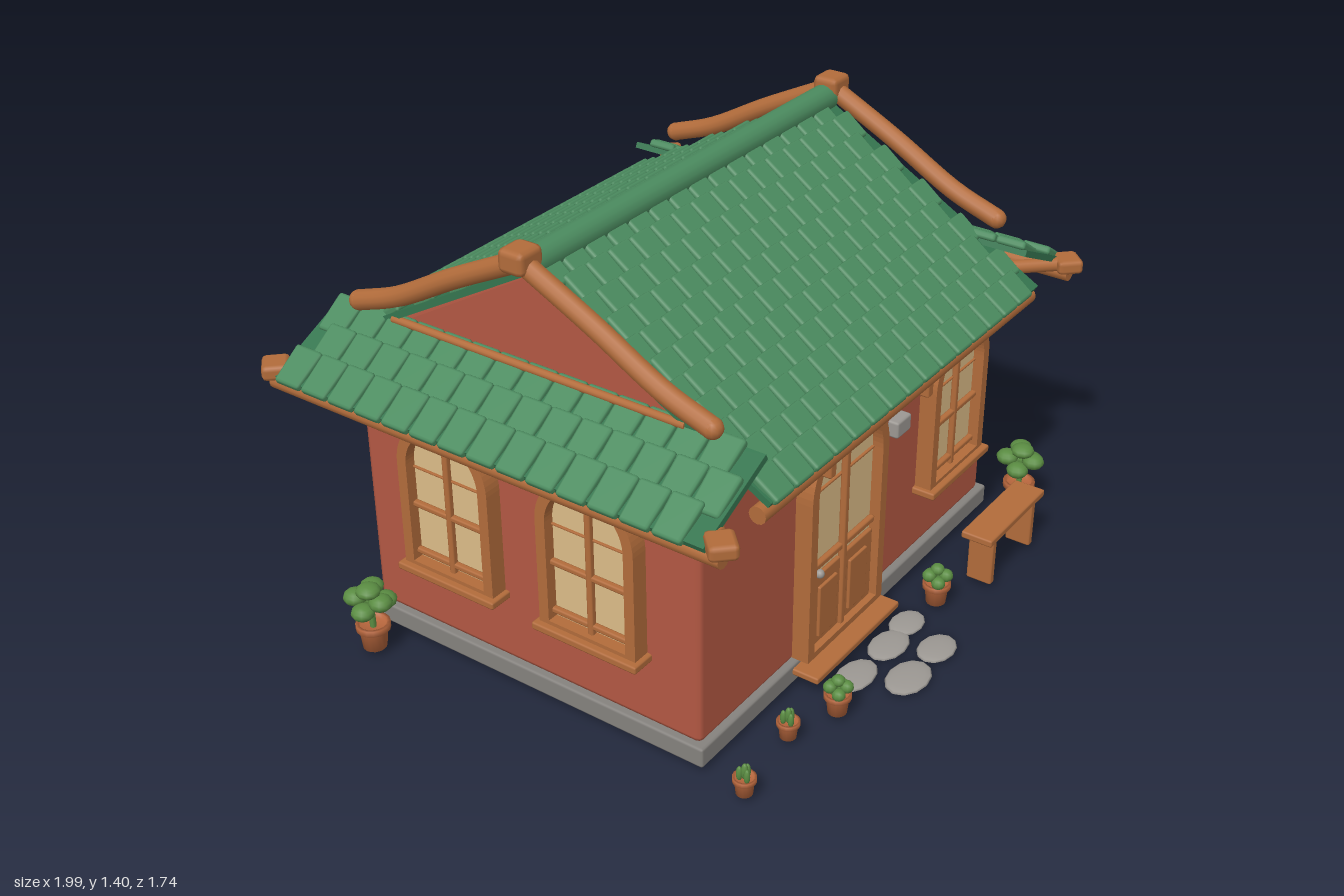
import * as THREE from 'three';
import { mergeGeometries } from 'three/addons/utils/BufferGeometryUtils.js';
import { RoundedBoxGeometry } from 'three/addons/geometries/RoundedBoxGeometry.js';

const mat = (name, color) => {
  const m = new THREE.MeshStandardMaterial({ color });
  m.name = name;
  return m;
};

export function createModel() {
  const root = new THREE.Group();
  root.name = 'cottage';
  const wall = mat('red plaster', 0xb35843);
  const wood = mat('wood', 0xb26c3b);
  const tileGreen = mat('roof tile green', 0x4b8b5f);
  const slabGreen = mat('roof base green', 0x35754f);
  const cream = mat('warm glass', 0xdcbc88);
  const stone = mat('foundation stone', 0x85827e);
  const paving = mat('paving stone', 0x9c9893);
  const clay = mat('terracotta', 0xb5653c);
  const leaf = mat('leaf', 0x5a8c42);
  const ZC = -0.07; // ridge line

  const add = (parent, name, geo, m, x = 0, y = 0, z = 0) => {
    const mesh = new THREE.Mesh(geo, m);
    mesh.name = name;
    mesh.position.set(x, y, z);
    parent.add(mesh);
    return mesh;
  };
  const box = (parent, name, w, h, d, m, x, y, z, r = 0.006) =>
    add(parent, name, new RoundedBoxGeometry(w, h, d, 1, Math.min(r, w / 3, h / 3, d / 3)), m, x, y, z);
  const rod = (name, a, b, r) => {
    const va = new THREE.Vector3(...a), vb = new THREE.Vector3(...b), d = vb.clone().sub(va);
    const mesh = add(root, name, new THREE.CylinderGeometry(r, r, d.length(), 12), wood);
    mesh.position.copy(va).add(vb).multiplyScalar(0.5);
    mesh.quaternion.setFromUnitVectors(new THREE.Vector3(0, 1, 0), d.normalize());
    return mesh;
  };

  // Foundation, walls and gable prism
  box(root, 'foundation', 1.62, 0.065, 1.22, stone, 0, 0.0525, ZC, 0.008);
  box(root, 'walls', 1.58, 0.87, 1.18, wall, 0, 0.515, ZC, 0.018);
  const tri = new THREE.Shape();
  tri.moveTo(-0.6, 0.95);
  tri.lineTo(0.6, 0.95);
  tri.lineTo(0, 1.3);
  tri.closePath();
  const gable = add(root, 'gables', new THREE.ExtrudeGeometry(tri, { depth: 1.4, bevelEnabled: false }), wall, -0.7, 0, ZC);
  gable.rotation.y = Math.PI / 2;

  // Roof planes: a slab carrying staggered, overlapping tiles
  function roofPlane(name, x, y, yaw, run, drop, width, rows, cols, pitch) {
    const g = new THREE.Group();
    g.name = name;
    g.position.set(x, y, ZC);
    g.rotation.set(Math.atan2(drop, run), yaw, 0, 'YXZ');
    const len = Math.hypot(run, drop), step = len / rows;
    add(g, 'roofBase', new THREE.BoxGeometry(width, 0.02, len), slabGreen, 0, 0, len / 2);
    const tile = new RoundedBoxGeometry(pitch * 0.96, 0.026, step * 1.25, 1, 0.009);
    const p = tile.attributes.position; // lower end narrows, middle bulges
    for (let i = 0; i < p.count; i++) {
      const t = p.getZ(i) / (step * 1.25) + 0.5;
      p.setY(i, p.getY(i) - Math.abs(p.getX(i)) * 0.18);
      p.setX(i, p.getX(i) * (1.02 - 0.1 * t));
    }
    tile.rotateX(0.13);
    const parts = [];
    for (let r = 0; r < rows; r++)
      for (let c = 0; c < cols; c++) {
        const off = (c - (cols - 1) / 2 + (r % 2 ? 0.25 : -0.25)) * pitch;
        parts.push(tile.clone().translate(off, 0.021, (r + 0.52) * step));
      }
    add(g, 'roofTiles', mergeGeometries(parts), tileGreen);
    root.add(g);
  }
  roofPlane('frontRoof', 0, 1.32, 0, 0.76, 0.43, 1.46, 11, 15, 0.0935);
  roofPlane('backRoof', 0, 1.32, Math.PI, 0.76, 0.43, 1.46, 11, 15, 0.0935);
  const ridge = add(root, 'ridgeCap', new THREE.CylinderGeometry(0.043, 0.043, 1.44, 16), tileGreen, 0, 1.338, ZC);
  ridge.rotation.z = Math.PI / 2;

  // Side roofs, gable poles, eave beams and corner finials
  for (const s of [-1, 1]) {
    roofPlane('sideRoof', s * 0.7, 1.008, s * Math.PI / 2, 0.27, 0.13, 1.46, 3, 14, 0.1);
    const pts = [[-0.6, 1.07], [-0.45, 1.125], [-0.24, 1.24], [0, 1.36], [0.24, 1.24], [0.45, 1.125], [0.6, 1.07]]
      .map(([z, y]) => new THREE.Vector3(s * 0.75, y, ZC + z));
    for (const half of [pts.slice(0, 4), pts.slice(3)])
      add(root, 'gablePole', new THREE.TubeGeometry(new THREE.CatmullRomCurve3(half), 16, 0.03, 12), wood);
    for (const end of [pts[0], pts[6]])
      add(root, 'poleEnd', new THREE.SphereGeometry(0.03, 12, 8), wood, end.x, end.y, end.z);
    box(root, 'ridgeEnd', 0.095, 0.07, 0.085, wood, s * 0.75, 1.368, ZC, 0.018);
    rod('gableBaseBeam', [s * 0.725, 1.03, ZC - 0.5], [s * 0.725, 1.03, ZC + 0.5], 0.012);
    rod('sideEaveBeam', [s * 0.945, 0.855, -0.83], [s * 0.945, 0.855, 0.7], 0.026);
    for (const e of [-1, 1]) {
      const z = ZC + e * 0.76;
      rod('cornerBeam', [s * 0.74, 0.892, ZC + e * 0.56], [s * 0.94, 0.888, z], 0.022);
      const f = box(root, 'cornerFinial', 0.09, 0.046, 0.08, wood, s * 0.94, 0.89, z, 0.014);
      f.rotation.y = Math.PI / 4;
    }
  }
  for (const z of [0.66, -0.8]) rod('eaveBeam', [-0.74, 0.855, z], [0.74, 0.855, z], 0.026);
  for (const x of [-0.39, 0.13]) box(root, 'eaveBracket', 0.03, 0.045, 0.16, wood, x, 0.81, 0.59);

  // Arched frames with glass
  const arch = (w, h, y0, Type) => {
    const r = w / 2, s = new Type();
    s.moveTo(-r, y0);
    s.lineTo(r, y0);
    s.lineTo(r, h - r);
    s.absarc(0, h - r, r, 0, Math.PI, false);
    s.closePath();
    return s;
  };
  function archedOpening(name, w, h, rim) {
    const g = new THREE.Group();
    g.name = name;
    const ring = arch(w, h, 0, THREE.Shape);
    ring.holes.push(arch(w - rim * 2, h - rim, 0.02, THREE.Path));
    add(g, 'archFrame', new THREE.ExtrudeGeometry(ring, { depth: 0.065, bevelEnabled: false, curveSegments: 16 }), wood, 0, 0, -0.01);
    add(g, 'glass', new THREE.ExtrudeGeometry(arch(w - rim * 2 + 0.01, h - rim + 0.005, 0.01, THREE.Shape),
      { depth: 0.008, bevelEnabled: false, curveSegments: 16 }), cream, 0, 0, 0.012);
    root.add(g);
    return g;
  }
  function windowAt(x, z, yaw) {
    const g = archedOpening('archedWindow', 0.33, 0.51, 0.033);
    g.position.set(x, 0.31, z);
    g.rotation.y = yaw;
    box(g, 'mullion', 0.02, 0.47, 0.02, wood, 0, 0.25, 0.03);
    box(g, 'crossBar', 0.28, 0.018, 0.02, wood, 0, 0.205, 0.028);
    box(g, 'lowerBar', 0.28, 0.018, 0.02, wood, 0, 0.045, 0.028);
    box(g, 'fanlightBar', 0.28, 0.006, 0.01, wood, 0, 0.325, 0.022);
    box(g, 'sill', 0.36, 0.024, 0.085, wood, 0, -0.004, 0.033);
  }
  windowAt(0.515, 0.52, 0);
  for (const z of [-0.32, 0.18]) windowAt(-0.79, z, -Math.PI / 2);

  // Double door
  const door = archedOpening('door', 0.41, 0.74, 0.033);
  door.position.set(-0.13, 0.09, 0.52);
  box(door, 'centrePost', 0.022, 0.67, 0.022, wood, 0, 0.35, 0.034);
  box(door, 'middleRail', 0.34, 0.02, 0.02, wood, 0, 0.293, 0.03);
  box(door, 'fanlightBar', 0.34, 0.007, 0.012, wood, 0, 0.535, 0.022);
  for (const s of [-1, 1]) {
    box(door, 'doorLeaf', 0.165, 0.24, 0.015, wood, s * 0.088, 0.135, 0.026);
    box(door, 'raisedPanel', 0.095, 0.175, 0.012, wood, s * 0.082, 0.13, 0.037);
  }
  add(door, 'doorKnob', new THREE.SphereGeometry(0.014, 12, 8), paving, -0.14, 0.275, 0.045);
  box(root, 'doorStep', 0.46, 0.022, 0.1, wood, -0.13, 0.062, 0.575);
  box(root, 'letterBox', 0.08, 0.055, 0.04, paving, 0.2, 0.615, 0.535, 0.008);

  // Bench
  box(root, 'benchSeat', 0.36, 0.024, 0.105, wood, 0.54, 0.195, 0.737);
  for (const x of [0.41, 0.67]) box(root, 'benchLeg', 0.026, 0.165, 0.085, wood, x, 0.102, 0.737);

  // Stepping stones: x, z, half width, half depth
  for (const [x, z, a, b] of [[-0.135, 0.795, 0.09, 0.062], [0.033, 0.795, 0.076, 0.055], [-0.215, 0.665, 0.088, 0.055],
    [-0.035, 0.67, 0.085, 0.055], [0.09, 0.66, 0.07, 0.05]]) {
    const m = add(root, 'steppingStone', new THREE.SphereGeometry(1, 12, 8), paving, x, 0.012, z);
    m.scale.set(a, 0.011, b);
  }

  // Potted plants: x, z, scale, kind
  const potProfile = [[0, 0], [0.036, 0], [0.043, 0.065], [0.052, 0.065], [0.052, 0.085], [0.042, 0.085], [0.04, 0.07], [0, 0.07]]
    .map(([x, y]) => new THREE.Vector2(x, y));
  function plant(x, z, k, kind) {
    const g = new THREE.Group();
    g.name = 'pottedPlant';
    g.position.set(x, 0.02, z);
    g.scale.setScalar(k);
    add(g, 'pot', new THREE.LatheGeometry(potProfile, 16), clay);
    const pad = (px, py, pz, a, b) => add(g, 'leafPad', new THREE.SphereGeometry(1, 10, 8), leaf, px, py, pz).scale.set(a, b, a);
    if (kind === 'bush') {
      add(g, 'stem', new THREE.CylinderGeometry(0.008, 0.01, 0.1, 8), leaf, 0, 0.115, 0);
      for (let i = 0; i < 5; i++) {
        const a = i * 1.257 + 0.4;
        pad(Math.cos(a) * 0.045, 0.15 + (i % 2) * 0.025, Math.sin(a) * 0.045, 0.036, 0.025);
      }
      pad(-0.015, 0.21, 0.01, 0.038, 0.022);
      pad(0.025, 0.195, -0.015, 0.036, 0.022);
    } else if (kind === 'round') {
      for (let i = 0; i < 5; i++) pad(Math.cos(i * 1.257) * 0.032, 0.1 + (i % 2) * 0.02, Math.sin(i * 1.257) * 0.032, 0.026, 0.024);
      pad(0, 0.14, 0, 0.026, 0.022);
    } else {
      for (let i = 0; i < 3; i++) pad(Math.cos(i * 2.1) * 0.022, 0.1, Math.sin(i * 2.1) * 0.022, 0.014, 0.036);
      pad(0, 0.112, 0, 0.016, 0.04);
    }
    root.add(g);
  }
  plant(-0.92, -0.57, 1, 'bush');
  plant(0.87, 0.63, 1, 'bush');
  plant(-0.82, 0.685, 0.66, 'spiky');
  plant(-0.56, 0.655, 0.66, 'spiky');
  plant(-0.39, 0.71, 0.78, 'round');
  plant(0.23, 0.68, 0.84, 'round');

  return root;
}
